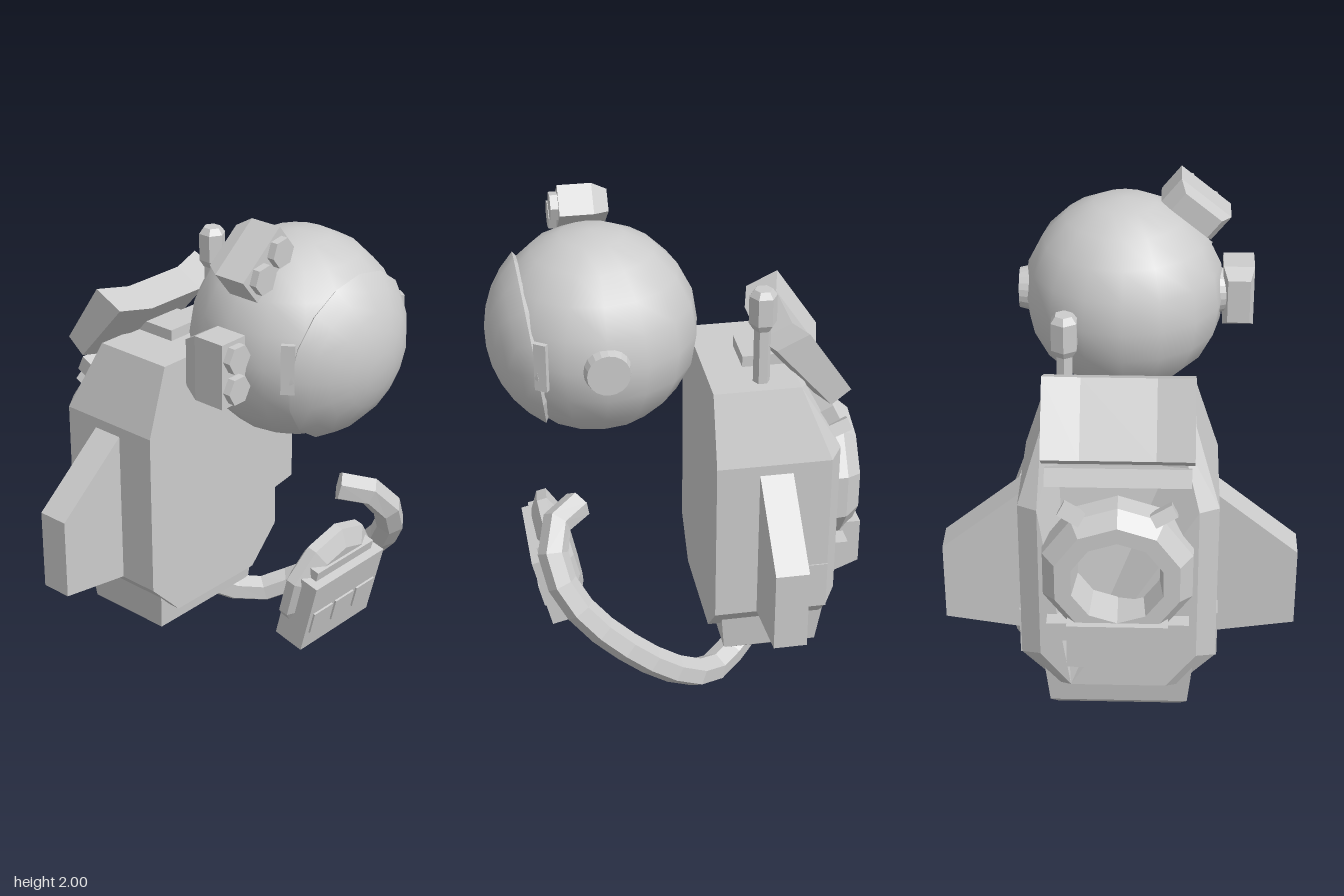
import * as THREE from 'three';

const grey = new THREE.MeshStandardMaterial({ color: 0xcccccc });
grey.name = 'light grey';

const flat = (g) => {
  const f = g.index ? g.toNonIndexed() : g;
  f.computeVertexNormals();
  return f;
};

// Solid through convex cross-sections, counter-clockwise as seen from the last one
function loft(rings) {
  const n = rings[0].length, index = [], last = (rings.length - 1) * n;
  for (let i = 0; i < rings.length - 1; i++) {
    for (let j = 0; j < n; j++) {
      const a = i * n + j, b = i * n + (j + 1) % n;
      index.push(a, b, b + n, a, b + n, a + n);
    }
  }
  for (let j = 1; j < n - 1; j++) index.push(0, j + 1, j, last, last + j, last + j + 1);
  const g = new THREE.BufferGeometry();
  g.setAttribute('position', new THREE.Float32BufferAttribute(rings.flat(2), 3));
  g.setIndex(index);
  return flat(g);
}

function add(parent, name, geometry, pos = [0, 0, 0], rot = [0, 0, 0]) {
  const m = new THREE.Mesh(geometry, grey);
  m.name = name;
  m.position.set(...pos);
  m.rotation.set(...rot);
  parent.add(m);
  return m;
}

function group(parent, name, pos = [0, 0, 0], rot = [0, 0, 0]) {
  const g = new THREE.Group();
  g.name = name;
  g.position.set(...pos);
  g.rotation.set(...rot);
  parent.add(g);
  return g;
}

const box = (w, h, d) => new THREE.BoxGeometry(w, h, d);
const cyl = (a, b, h, n) => flat(new THREE.CylinderGeometry(a, b, h, n));

function buildHelmet(root) {
  const helmet = group(root, 'helmet', [0, 1.515, 0.31]);
  add(helmet, 'shell', new THREE.SphereGeometry(0.398, 16, 10));

  // Visor: a raised cap tipped slightly down, with a stepped rim
  const visor = group(helmet, 'visor', [0, 0, 0], [Math.PI / 2 + 0.13, 0, 0]);
  const half = 0.925;
  add(visor, 'visorGlass', new THREE.SphereGeometry(0.415, 16, 5, 0, Math.PI * 2, 0, half));
  const r = 0.415 * Math.sin(half), y = 0.415 * Math.cos(half);
  add(visor, 'visorRim', flat(new THREE.CylinderGeometry(r, r * 0.92, y * 0.08, 16, 1, true)), [0, y * 0.96, 0]);

  for (const s of [-1, 1]) {
    add(helmet, 'visorTab', box(0.02, 0.19, 0.05), [s * 0.325, 0.015, 0.235], [0, -s * 0.6, 0]);
    add(helmet, 'earDisc', flat(new THREE.CylinderGeometry(0.08, 0.092, 0.05, 20)), [s * 0.39, 0.005, 0], [0, 0, -s * Math.PI / 2]);
  }

  // Twin lamp housings, chamfered at the back
  const housing = (w, h) => {
    const ring = (k, z) => [[w * k, h * k, z], [-w * k, h * k, z], [-w * k, -h * k, z], [w * k, -h * k, z]];
    return loft([ring(0.36, -0.1), ring(0.5, -0.04), ring(0.5, 0.09)]);
  };
  const lamps = [[[-0.45, 0, 0], Math.PI / 2], [[-0.277, 0.362, 0.01], 0.68]];
  for (const [pos, turn] of lamps) {
    const lamp = group(helmet, 'headLamp', pos, [0, 0, turn]);
    add(lamp, 'lampHousing', housing(0.25, 0.122));
    for (const x of [-0.06, 0.06]) {
      add(lamp, 'lampLens', cyl(0.056, 0.056, 0.04, 6), [x, 0, 0.1], [Math.PI / 2, 0, 0]);
    }
  }
}

function buildBackpack(root) {
  const pack = group(root, 'backpack');

  // Main body: front outline lofted backwards, top leaning in
  const outline = [[0.23, 0.22], [0.375, 0.37], [0.375, 1.05], [0.285, 1.33],
    [-0.285, 1.33], [-0.375, 1.05], [-0.375, 0.37], [-0.23, 0.22]];
  add(pack, 'body', loft([
    outline.map(([x, y]) => [x * 0.8, y > 1.2 ? 1.31 : y > 1 ? 1.06 : y + 0.03, y > 1.2 ? -0.47 : -0.6]),
    outline.map(([x, y]) => [x, y, y > 1.2 ? -0.44 : -0.55]),
    outline.map(([x, y]) => [x, y, -0.1]),
  ]));

  // Tapered foot block
  const foot = (w, y, front, back, dy = 0) => [[w, y, front], [w, y + dy, back], [-w, y + dy, back], [-w, y, front]];
  add(pack, 'footBlock', loft([foot(0.24, 0.1, -0.3, -0.52), foot(0.27, 0.125, -0.16, -0.54), foot(0.29, 0.34, -0.14, -0.57)]));

  for (const s of [-1, 1]) {
    // Side fin
    const fin = new THREE.Shape([[0.36, 0.37], [0.685, 0.42], [0.685, 0.75], [0.36, 1.02]]
      .map(([x, y]) => new THREE.Vector2(s * x, y)));
    add(pack, 'fin', new THREE.ExtrudeGeometry(fin, { depth: 0.13, bevelEnabled: false }), [0, 0, -0.398]);
    add(pack, 'sideStrap', box(0.02, 0.2, 0.15), [s * 0.37, 0.47, -0.475]);
    // Ring fittings
    add(pack, 'ringLug', box(0.08, 0.08, 0.1), [s * 0.23, 0.55, -0.61]);
    add(pack, 'ringBracket', box(0.09, 0.05, 0.08), [s * 0.17, 1.07, -0.63], [0.4, 0, s * 0.5]);
  }

  // Exhaust ring: open collar, narrower at the back
  const profile = [[0.16, 0], [0.3, 0], [0.295, 0.08], [0.245, 0.14], [0.18, 0.14], [0.16, 0]]
    .map(([r, h]) => new THREE.Vector2(r, h));
  add(pack, 'exhaustRing', flat(new THREE.LatheGeometry(profile, 10)), [0, 0.81, -0.565], [-Math.PI / 2, 0, 0]);

  // Box under the ring, with a sloping underside
  add(pack, 'rearBox', loft([-0.19, 0.19].map((x) => [[x, 0.37, -0.56], [x, 0.44, -0.73], [x, 0.63, -0.73], [x, 0.63, -0.56]])));

  // Bent panel over the top rear edge
  const panel = [[1.49, -0.34], [1.24, -0.56], [1.3, -0.635], [1.55, -0.465]];
  add(pack, 'topPanel', loft([[-0.28, 0], [-0.14, 0.035], [0.14, 0.035], [0.28, 0]]
    .map(([x, d]) => panel.map(([y, z]) => [x, y - d * 0.6, z + d]))));
  add(pack, 'panelLip', box(0.54, 0.07, 0.1), [0, 1.175, -0.54], [0.45, 0, 0]);
  add(pack, 'panelSupport', box(0.18, 0.1, 0.24), [0, 1.325, -0.37]);

  // Antenna
  const antenna = group(pack, 'antenna', [0.205, 0, -0.3]);
  add(antenna, 'antennaRod', cyl(0.033, 0.033, 0.28, 6), [0, 1.43, 0]);
  const tip = [[0, 1.55], [0.035, 1.55], [0.054, 1.58], [0.054, 1.69], [0.035, 1.715], [0, 1.715]]
    .map(([r, h]) => new THREE.Vector2(r, h));
  add(antenna, 'antennaTip', flat(new THREE.LatheGeometry(tip, 6)));
}

function buildChestUnit(root) {
  const unit = group(root, 'chestUnit', [0, 0.515, 0.48], [0.24, 0, 0]);

  // Round backing plate with bevelled edges
  const disc = [[0, -0.06], [0.16, -0.06], [0.245, -0.02], [0.245, 0.02], [0.18, 0.06], [0, 0.06]]
    .map(([r, h]) => new THREE.Vector2(r, h));
  add(unit, 'backPlate', flat(new THREE.LatheGeometry(disc, 10)), [0, 0, 0], [Math.PI / 2, 0, 0]);

  add(unit, 'controlBox', box(0.415, 0.31, 0.13), [0, -0.055, 0.04]);
  add(unit, 'boxTop', box(0.34, 0.05, 0.08), [0, 0.115, 0.03]);
  for (const x of [-0.13, 0, 0.13]) {
    add(unit, 'button', box(0.11, 0.095, 0.012), [x, -0.08, 0.107]);
  }
}

function buildHose(root) {
  const path = [[0.16, 0.82, 0.41], [0.25, 0.79, 0.51], [0.35, 0.66, 0.525], [0.425, 0.5, 0.44], [0.46, 0.34, 0.28],
    [0.44, 0.19, 0.1], [0.38, 0.1, -0.04], [0.28, 0.06, -0.14], [0.15, 0.12, -0.28]].map((p) => new THREE.Vector3(...p));
  const curve = new THREE.CatmullRomCurve3(path);
  add(root, 'hose', flat(new THREE.TubeGeometry(curve, 12, 0.06, 6)));

  // End caps
  for (const t of [0, 1]) {
    const cap = add(root, 'hoseEnd', new THREE.CircleGeometry(0.06, 6), curve.getPointAt(t).toArray());
    const dir = curve.getTangentAt(t).multiplyScalar(t ? 1 : -1);
    cap.quaternion.setFromUnitVectors(new THREE.Vector3(0, 0, 1), dir);
  }
}

export function createModel() {
  const model = new THREE.Group();
  model.name = 'spaceGear';
  buildHelmet(model);
  buildBackpack(model);
  buildChestUnit(model);
  buildHose(model);
  return model;
}
